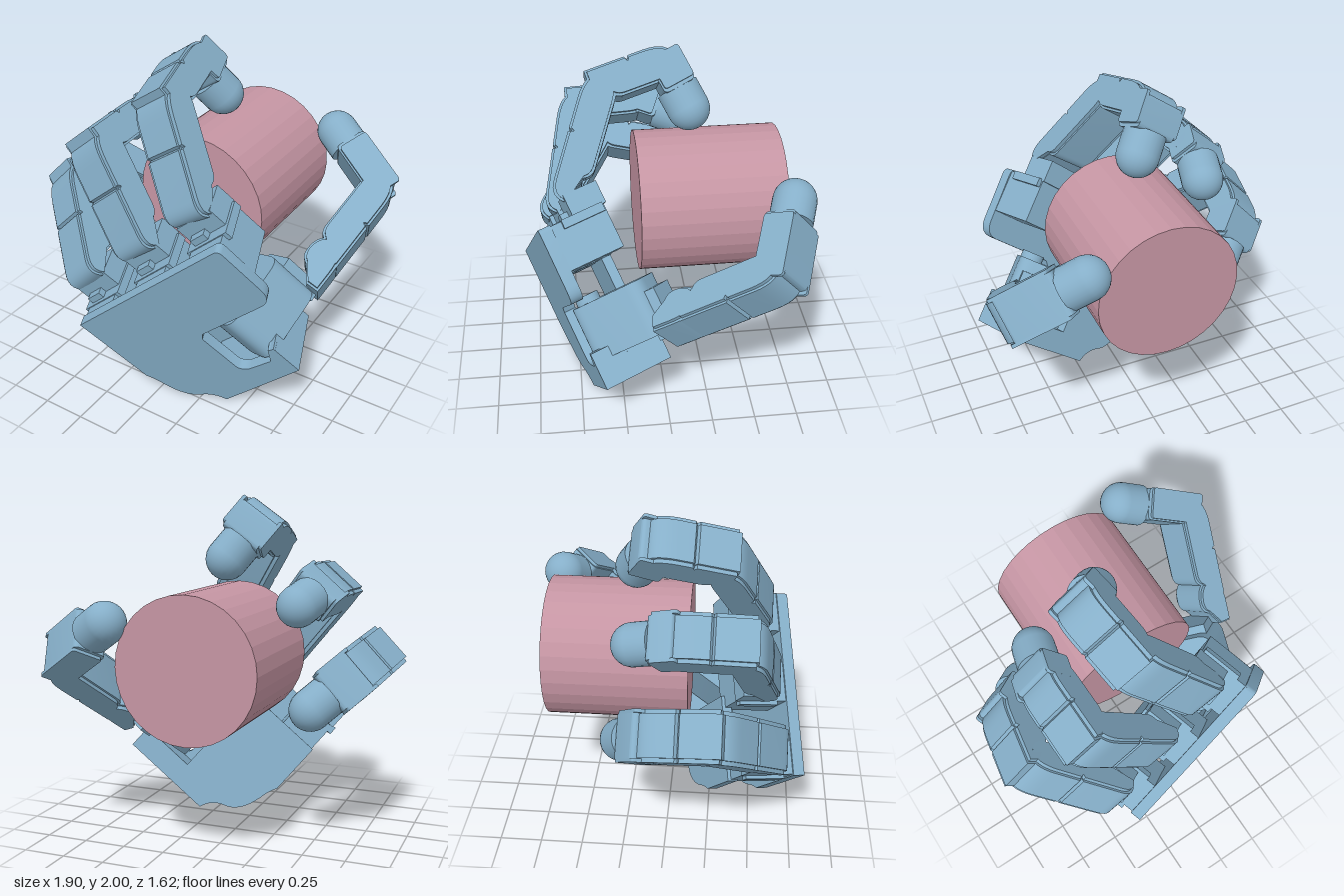
import * as THREE from 'three';
import { toCreasedNormals } from 'three/addons/utils/BufferGeometryUtils.js';

const V = (x, y, z) => new THREE.Vector3(x, y, z);
const handMat = new THREE.MeshStandardMaterial({ color: 0x86afc9 });
const drumMat = new THREE.MeshStandardMaterial({ color: 0xc595a3, flatShading: true });

function add(parent, name, geo, x = 0, y = 0, z = 0, mat = handMat) {
  const m = new THREE.Mesh(geo, mat);
  m.name = name;
  m.position.set(x, y, z);
  parent.add(m);
  return m;
}

// Extrusion centred on its depth
function slab(shape, depth) {
  const g = new THREE.ExtrudeGeometry(shape, { depth, bevelEnabled: false, curveSegments: 8 });
  g.translate(0, 0, -depth / 2);
  return toCreasedNormals(g, 0.6);
}

// Group placed at p with the given axes
function frame(name, p, x, y, z) {
  const g = new THREE.Group();
  g.name = name;
  g.quaternion.setFromRotationMatrix(new THREE.Matrix4().makeBasis(x, y, z));
  g.position.copy(p);
  return g;
}

function roundRect(x0, y0, x1, y1, r) {
  const s = new THREE.Shape();
  s.moveTo(x0 + r, y0);
  s.lineTo(x1 - r, y0);
  s.quadraticCurveTo(x1, y0, x1, y0 + r);
  s.lineTo(x1, y1 - r);
  s.quadraticCurveTo(x1, y1, x1 - r, y1);
  s.lineTo(x0 + r, y1);
  s.quadraticCurveTo(x0, y1, x0, y1 - r);
  s.lineTo(x0, y0 + r);
  s.quadraticCurveTo(x0, y0, x0 + r, y0);
  return s;
}

// Side outline of a link: heel on the back (rounded on the first link), rounded hinge at the far end
function linkShape(L, i, roundHeel) {
  const t = 0.098 - i, m = L * 0.48, s = new THREE.Shape();
  if (roundHeel) {
    s.moveTo(0, -0.12 + i);
    s.quadraticCurveTo(t, -0.12 + i, t, -0.02 + i);
  } else {
    s.moveTo(0.02, -0.06 + i);
    s.lineTo(t, -0.06 + i);
  }
  if (L > 0.3) {
    // seam between the motor case and its cover
    s.lineTo(t, m - 0.012);
    s.lineTo(t - 0.02, m);
    s.lineTo(t, m + 0.012);
  }
  s.lineTo(t, L - 0.1 - i);
  s.quadraticCurveTo(t, L + 0.05 - i, 0, L + 0.06 - i);
  s.quadraticCurveTo(-t, L + 0.05 - i, -t, L - 0.06 - i);
  s.lineTo(-t, 0.1 + i);
  s.quadraticCurveTo(-t, 0.05 + i, -0.05, 0.03 + i);
  return s;
}

// Link group from a to b; w is the hinge axis, +x of the group is the finger's back
function link(parent, name, a, b, w) {
  const d = b.clone().sub(a).normalize();
  const out = w.clone().cross(d).normalize();
  const g = frame(name, a, out, d, out.clone().cross(d));
  parent.add(g);
  return [g, a.distanceTo(b)];
}

function segment(parent, a, b, w, roundHeel) {
  const [g, L] = link(parent, 'link', a, b, w);
  add(g, 'linkBody', slab(linkShape(L, 0, roundHeel), 0.23));
  for (const s of [-1, 1]) add(g, 'sideCover', slab(linkShape(L, 0.013, roundHeel), 0.024), 0, 0, s * 0.126);
}

function fingertip(parent, a, b, w) {
  const [g, L] = link(parent, 'fingertip', a, b, w);
  const n = L - 0.12;
  add(g, 'tipBody', slab(roundRect(-0.09, -0.03, 0.098, n, 0.03), 0.24));
  for (const s of [-1, 1])
    add(g, 'sideCover', slab(roundRect(-0.08, -0.05, 0.098, n - 0.02, 0.02), 0.02), 0, 0, s * 0.128);
  add(g, 'tipNeck', new THREE.CylinderGeometry(0.12, 0.12, 0.13, 24), 0, L - 0.065, 0);
  add(g, 'tipBall', new THREE.SphereGeometry(0.12, 24, 16), 0, L, 0);
}

function digit(parent, name, pts) {
  const g = new THREE.Group();
  g.name = name;
  parent.add(g);
  const n = pts.length;
  const w = pts[n - 1].clone().sub(pts[n - 3]).cross(pts[n - 3].clone().sub(pts[n - 4])).normalize();
  for (let i = 0; i < n - 2; i++) segment(g, pts[i], pts[i + 1], w, i === 0 && name !== 'thumb');
  fingertip(g, pts[n - 2], pts[n - 1], w);
}

// Scooped wrist corner and little-finger edge, shared by both palm plates
function scoop(s) {
  s.lineTo(-0.285, -0.94);
  s.quadraticCurveTo(-0.31, -0.86, -0.39, -0.83);
  s.quadraticCurveTo(-0.49, -0.8, -0.525, -0.64);
  s.quadraticCurveTo(-0.535, -0.58, -0.563, -0.53);
}

export function createModel() {
  const model = new THREE.Group();
  model.name = 'gripperHand';

  // Held cylinder
  const drum = add(model, 'heldCylinder', new THREE.CylinderGeometry(0.405, 0.405, 0.815, 32),
    0.02, 1.095, -0.283, drumMat);
  drum.rotation.x = Math.PI / 2;

  // Palm frame: x to the thumb side, y to the fingers, z out of the back of the hand
  const n = V(0.33, -0.21, 0.92).normalize();
  const v = n.clone().cross(V(0.745, 0.657, -0.115)).normalize();
  const palm = frame('palm', V(0.06, 0.87, 0.745), v.clone().cross(n), v, n);
  model.add(palm);

  // Back plate with the thumb notch
  const back = new THREE.Shape();
  back.moveTo(-0.563, 0);
  back.lineTo(0.53, 0);
  back.quadraticCurveTo(0.563, 0, 0.563, -0.04);
  back.lineTo(0.555, -0.34);
  back.quadraticCurveTo(0.55, -0.43, 0.46, -0.43);
  back.lineTo(0.02, -0.43);
  back.lineTo(-0.01, -0.46);
  back.lineTo(-0.01, -0.74);
  back.quadraticCurveTo(0, -0.78, 0.05, -0.79);
  back.lineTo(0.2, -0.8);
  back.lineTo(0.25, -0.72);
  back.lineTo(0.288, -0.74);
  back.lineTo(0.288, -0.94);
  scoop(back);
  add(palm, 'backPlate', slab(back, 0.07), 0, 0, -0.035);

  // Palm-side plate
  const inner = new THREE.Shape();
  inner.moveTo(-0.563, -0.2);
  inner.lineTo(-0.05, -0.2);
  inner.lineTo(-0.05, -0.8);
  inner.lineTo(0.288, -0.8);
  inner.lineTo(0.288, -0.94);
  scoop(inner);
  add(palm, 'innerPlate', slab(inner, 0.06), 0, 0, -0.37);

  // Wrist block
  add(palm, 'wristBlock', new THREE.BoxGeometry(0.573, 0.14, 0.4), 0.0015, -0.87, -0.2);
  add(palm, 'wristSideWall', new THREE.BoxGeometry(0.035, 0.09, 0.4), 0.27, -0.77, -0.2);

  // Finger mounts and knuckle blocks
  for (const x of [-0.435, 0, 0.435]) {
    add(palm, 'fingerMount', new THREE.BoxGeometry(0.24, 0.26, 0.32), x, -0.14, -0.22);
    add(palm, 'mountRim', new THREE.BoxGeometry(0.29, 0.05, 0.24), x, -0.03, -0.25);
    add(palm, 'knuckleBlock', new THREE.BoxGeometry(0.25, 0.13, 0.196), x, 0.05, -0.297);
    add(palm, 'knucklePin', new THREE.BoxGeometry(0.1, 0.05, 0.23), x - 0.04, 0.01, -0.27);
  }

  // Thumb turret, swung towards the palm side
  const turret = new THREE.Group();
  turret.name = 'thumbTurret';
  turret.position.set(0.193, -0.46, -0.13);
  turret.rotation.y = 0.95;
  palm.add(turret);
  const block = add(turret, 'turretBlock', slab(roundRect(-0.1, -0.09, 0.37, 0.2, 0.09), 0.32), 0, -0.165, 0);
  block.rotation.x = -Math.PI / 2;
  add(turret, 'turretAxle', new THREE.CylinderGeometry(0.07, 0.07, 0.4, 20), 0, -0.16, 0);
  add(turret, 'turretFlange', new THREE.BoxGeometry(0.1, 0.28, 0.22), 0.37, -0.22, -0.06);

  // Fingers from knuckle to tip
  digit(model, 'indexFinger', [V(0.185, 1.34, 0.48), V(-0.105, 1.76, 0.3), V(-0.165, 1.855, -0.06), V(-0.02, 1.65, -0.18)]);
  digit(model, 'middleFinger', [V(-0.135, 1.05, 0.54), V(-0.48, 1.455, 0.435), V(-0.49, 1.47, 0.06), V(-0.43, 1.4, -0.165)]);
  digit(model, 'ringFinger', [V(-0.455, 0.76, 0.58), V(-0.785, 1.08, 0.29), V(-0.725, 1.02, -0.07), V(-0.53, 0.84, -0.23)]);

  // Thumb: short base link, long link, tip
  const base = V(0.675, 0.725, -0.02), knuckle = V(0.835, 1.1, -0.55);
  digit(model, 'thumb', [base, base.clone().lerp(knuckle, 0.26), knuckle, V(0.48, 1.33, -0.69)]);
  return model;
}
